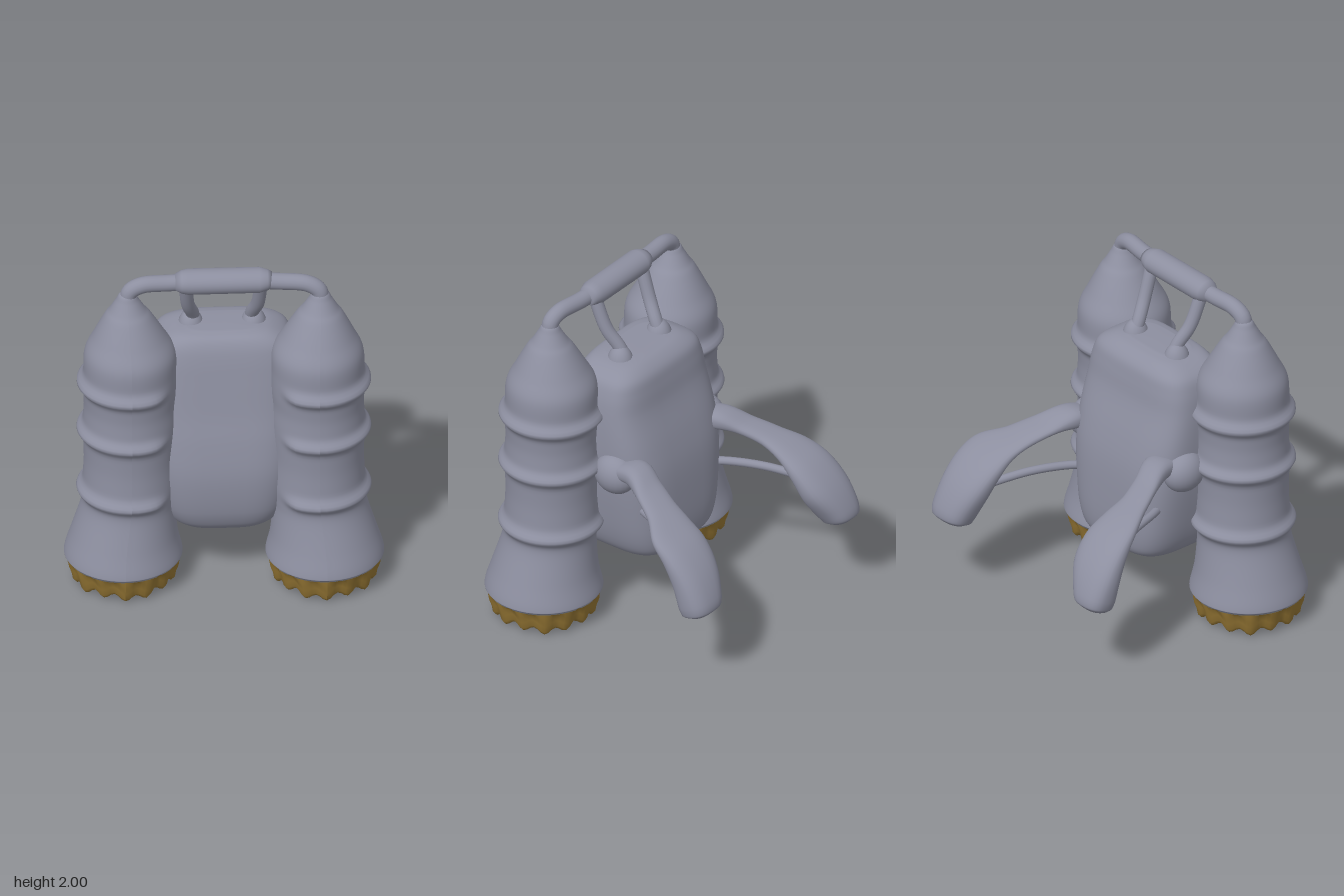
import * as THREE from 'three';

const shell = new THREE.MeshStandardMaterial({ color: 0x8d8fa0 });
shell.name = 'grey shell';
const flameMat = new THREE.MeshStandardMaterial({ color: 0x957634 });
flameMat.name = 'ochre exhaust';

function add(group, name, geometry, material = shell) {
  const mesh = new THREE.Mesh(geometry, material);
  mesh.name = name;
  group.add(mesh);
  return mesh;
}

const V = (x, y, z) => new THREE.Vector3(x, y, z);
const smoothstep = THREE.MathUtils.smoothstep;

// Skin a list of rings (arrays of Vector3) and close both ends
function loft(rings) {
  const n = rings[0].length, pos = [], idx = [];
  rings.forEach(r => r.forEach(p => pos.push(p.x, p.y, p.z)));
  for (let i = 0; i < rings.length - 1; i++) {
    for (let j = 0; j < n; j++) {
      const k = (j + 1) % n, a = i * n + j, b = i * n + k;
      idx.push(a, a + n, b, b, a + n, b + n);
    }
  }
  [0, rings.length - 1].forEach(i => {
    const c = V(0, 0, 0);
    rings[i].forEach(p => c.addScaledVector(p, 1 / n));
    const ci = pos.length / 3;
    pos.push(c.x, c.y, c.z);
    for (let j = 0; j < n; j++) {
      const a = i * n + j, b = i * n + (j + 1) % n;
      if (i === 0) idx.push(ci, a, b); else idx.push(ci, b, a);
    }
  });
  const g = new THREE.BufferGeometry();
  g.setAttribute('position', new THREE.Float32BufferAttribute(pos, 3));
  g.setIndex(idx);
  g.computeVertexNormals();
  return g;
}

// Rounded-box outline around a centre, spanned by two half-axes
function ring(center, u, v, power, n = 40) {
  const out = [];
  for (let j = 0; j < n; j++) {
    const t = j / n * Math.PI * 2, c = Math.cos(t), s = Math.sin(t);
    out.push(center.clone()
      .addScaledVector(u, Math.sign(c) * Math.abs(c) ** (2 / power))
      .addScaledVector(v, Math.sign(s) * Math.abs(s) ** (2 / power)));
  }
  return out;
}

// Tanks lean outwards slightly towards the flared nozzle
function lean(geometry, side) {
  const p = geometry.attributes.position;
  for (let i = 0; i < p.count; i++) {
    const y = p.getY(i), low = 1 - smoothstep(y, 0.2, 0.65), high = smoothstep(y, 1.45, 1.85);
    p.setX(i, p.getX(i) + side * (0.522 + 0.038 * low + 0.015 * high));
    p.setZ(i, p.getZ(i) + (side > 0 ? 0.455 + 0.025 * low : 0.425 + 0.012 * low));
  }
  geometry.computeVertexNormals();
  return geometry;
}

function makeTank(side) {
  const g = new THREE.Group();
  g.name = side > 0 ? 'leftTank' : 'rightTank';
  // Tank with pointed cap and flared nozzle
  const profile = [
    [0.29, 0.14], [0.325, 0.165], [0.328, 0.19], [0.297, 0.31], [0.266, 0.47], [0.261, 0.55],
    [0.263, 0.65], [0.257, 0.8], [0.262, 0.95], [0.262, 1.05], [0.257, 1.15], [0.262, 1.25],
    [0.26, 1.36], [0.253, 1.49], [0.2, 1.6], [0.135, 1.72], [0.1, 1.77], [0.065, 1.83],
    [0.042, 1.87], [0, 1.88]
  ].map(([r, y]) => new THREE.Vector2(r, y));
  const smooth = new THREE.SplineCurve(profile).getPoints(130);
  smooth.forEach(p => { p.x = Math.max(p.x, 0); });
  const tank = new THREE.LatheGeometry(smooth, 52);
  // Three ribs that fade out where the tank meets the body
  const p = tank.attributes.position;
  for (let i = 0; i < p.count; i++) {
    const x = p.getX(i), y = p.getY(i), z = p.getZ(i), r = Math.hypot(x, z);
    if (r < 0.2) continue;
    let rib = 0;
    [0.6, 0.99, 1.3].forEach(h => { rib += 0.036 * Math.exp(-(((y - h) / 0.035) ** 2)); });
    const k = 1 + rib * smoothstep(side * x / r, -0.85, -0.4) / r;
    p.setXYZ(i, x * k, y, z * k);
  }
  add(g, 'tankShell', lean(tank, side));

  // Jagged exhaust flame with a closed underside
  const flame = new THREE.LatheGeometry([
    [0, 0.04], [0.15, 0.04], [0.235, 0.032], [0.268, 0.024], [0.285, 0.045],
    [0.292, 0.085], [0.306, 0.125], [0.32, 0.156]
  ].map(([r, y]) => new THREE.Vector2(r, y)), 84);
  const f = flame.attributes.position;
  for (let i = 0; i < f.count; i++) {
    const x = f.getX(i), y = f.getY(i), z = f.getZ(i), r = Math.hypot(x, z);
    if (r < 0.25 || y > 0.14) continue;
    const a = Math.atan2(x, z), wave = Math.cos(14 * a) + 0.4 * Math.cos(5 * a + side);
    const k = 1 + 0.018 * wave;
    f.setXYZ(i, x * k, Math.max(0, y - 0.016 * wave), z * k);
  }
  add(g, 'exhaustFlame', lean(flame, side), flameMat);
  return g;
}

// Arm cross-sections from root to tip: y, z, half thickness
const armPath = [
  [1.0, 0.06, 0.05], [1.015, -0.06, 0.06], [0.978, -0.2, 0.034], [0.935, -0.32, 0.034],
  [0.88, -0.45, 0.042], [0.8, -0.56, 0.064], [0.68, -0.65, 0.088], [0.545, -0.71, 0.1],
  [0.5, -0.722, 0.092], [0.482, -0.727, 0.065]
];
// Centre x and half width of each section
const armWidths = {
  '-1': [[0.34, 0.07], [0.35, 0.09], [0.415, 0.086], [0.465, 0.093], [0.5, 0.13],
    [0.515, 0.158], [0.535, 0.163], [0.575, 0.125], [0.585, 0.105], [0.59, 0.08]],
  '1': [[0.39, 0.08], [0.4, 0.095], [0.465, 0.105], [0.52, 0.115], [0.59, 0.16],
    [0.605, 0.17], [0.62, 0.16], [0.645, 0.135], [0.65, 0.12], [0.65, 0.09]]
};

function makeArm(side) {
  const g = new THREE.Group();
  g.name = side > 0 ? 'leftArm' : 'rightArm';
  // Flattened, down-curving arm; the left one is a little shorter
  const reach = side > 0 ? 0.965 : 1, widths = armWidths[side];
  const path = new THREE.CatmullRomCurve3(armPath.map((r, i) => V(side * widths[i][0], r[0], r[1] * reach)));
  const size = new THREE.CatmullRomCurve3(armPath.map((r, i) => V(widths[i][1], r[2], 0)));
  const rings = [], steps = 44;
  for (let i = 0; i <= steps; i++) {
    const t = i / steps, d = path.getTangent(t), s = size.getPoint(t);
    d.x = 0;
    d.normalize();
    rings.push(ring(path.getPoint(t), V(s.x, 0, 0), V(0, -d.z, d.y).multiplyScalar(s.y), 2.5, 28));
  }
  add(g, 'armGrip', loft(rings));

  // Thin brace under the arm
  const brace = new THREE.CatmullRomCurve3([
    V(side * 0.3, 0.72, 0.02), V(side * 0.36, 0.735, -0.1),
    V(side * 0.44, 0.742, -0.32), V(side * 0.54, 0.705, -0.6)
  ]);
  add(g, 'armBrace', new THREE.TubeGeometry(brace, 24, 0.024, 12));

  // Bracket joining the arm root, body and tank
  const bracket = add(g, 'armBracket', new THREE.SphereGeometry(1, 24, 16));
  bracket.scale.set(0.1, 0.12, 0.13);
  bracket.position.set(side * 0.4, 0.96, 0.1);
  return g;
}

export function createModel() {
  const model = new THREE.Group();
  model.name = 'jetpack';

  // Central body: height, half width, back z, front z
  const rows = [
    [0.322, 0.1, 0.2, 0.42], [0.342, 0.2, 0.08, 0.5], [0.368, 0.27, -0.04, 0.54],
    [0.41, 0.32, -0.095, 0.57], [0.5, 0.36, -0.117, 0.6], [0.72, 0.4, -0.117, 0.615],
    [0.93, 0.42, -0.1, 0.585], [1.1, 0.425, -0.062, 0.545], [1.3, 0.415, 0, 0.505],
    [1.42, 0.395, 0.022, 0.48], [1.5, 0.36, 0.045, 0.455], [1.55, 0.28, 0.1, 0.42], [1.57, 0.19, 0.17, 0.36]
  ];
  const depth = new THREE.CatmullRomCurve3(rows.map(r => V(r[2], r[0], r[3])));
  const wide = new THREE.CatmullRomCurve3(rows.map(r => V(r[1], r[0], 0)));
  const rings = [];
  for (let i = 0; i <= 60; i++) {
    const s = depth.getPoint(i / 60), w = wide.getPoint(i / 60).x;
    rings.push(ring(V(0, s.y, (s.x + s.z) / 2), V(w, 0, 0), V(0, 0, (s.z - s.x) / 2), 3.8, 64));
  }
  add(model, 'body', loft(rings));

  [-1, 1].forEach(s => {
    model.add(makeTank(s), makeArm(s));
    // Strut from the body top up to the handle, widening at its foot
    const strut = new THREE.CatmullRomCurve3([
      V(s * 0.16, 1.5, 0.2), V(s * 0.165, 1.61, 0.25), V(s * 0.195, 1.72, 0.32), V(s * 0.21, 1.9, 0.39)
    ]);
    add(model, 'handleStrut', new THREE.TubeGeometry(strut, 20, 0.038, 14));
    const foot = add(model, 'strutFoot', new THREE.SphereGeometry(1, 20, 14));
    foot.scale.set(0.075, 0.12, 0.08);
    foot.position.set(s * 0.175, 1.51, 0.24);
  });

  // Handle pipe linking both tank tips
  const pipe = new THREE.CatmullRomCurve3([
    V(-0.53, 1.8, 0.425), V(-0.525, 1.88, 0.425), V(-0.46, 1.92, 0.42), V(-0.3, 1.925, 0.41),
    V(0, 1.93, 0.405), V(0.3, 1.925, 0.42), V(0.47, 1.92, 0.445), V(0.53, 1.88, 0.455), V(0.535, 1.8, 0.455)
  ]);
  add(model, 'handlePipe', new THREE.TubeGeometry(pipe, 80, 0.047, 18));

  // Thick grip in the middle of the handle
  const grip = new THREE.LatheGeometry([
    [0, -0.27], [0.045, -0.27], [0.057, -0.245], [0.07, -0.2], [0.071, 0.2],
    [0.063, 0.235], [0.045, 0.27], [0, 0.27]
  ].map(([r, y]) => new THREE.Vector2(r, y)), 28);
  grip.rotateZ(Math.PI / 2);
  const gripMesh = add(model, 'handleGrip', grip);
  gripMesh.scale.z = 1.12;
  gripMesh.position.set(0, 1.929, 0.408);

  return model;
}
